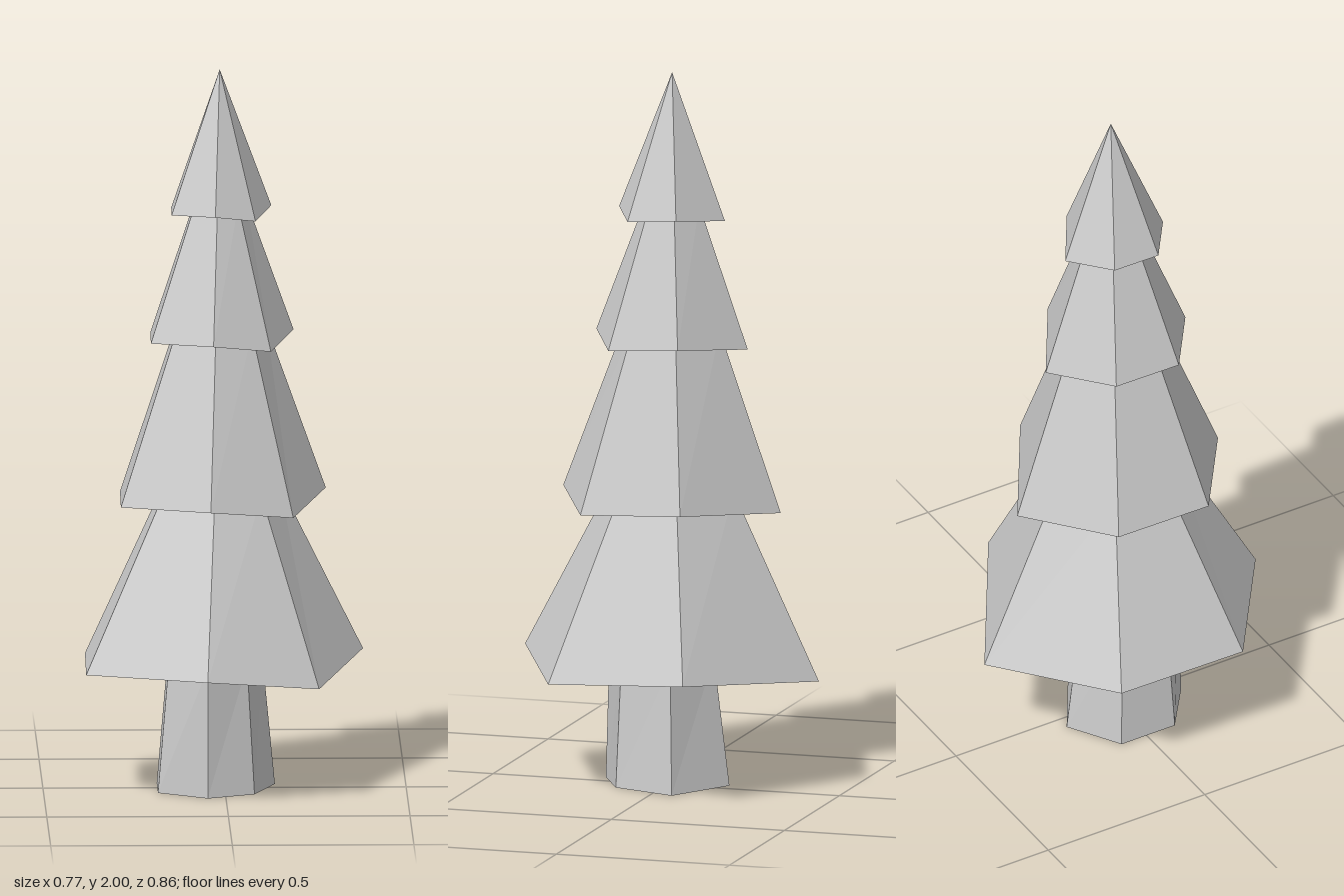
import * as THREE from 'three';

const material = new THREE.MeshStandardMaterial({ color: 0xcccccc, flatShading: true });

// Irregular hexagon shared by all foliage tiers: x, z offsets from the axis and rim tilt
const AXIS = [-0.013, -0.013];
const RIM = [
  [-0.022, -0.417, -0.03], [0.398, -0.157, 0.02], [0.268, 0.273, -0.025],
  [-0.042, 0.438, 0.02], [-0.372, 0.203, 0.005], [-0.367, -0.182, 0.005],
];

const ring = (scale, y, tilt) => RIM.map(([x, z, t]) =>
  new THREE.Vector3(AXIS[0] + x * scale, y + t * tilt, AXIS[1] + z * scale));

const middle = (points) => points.reduce((sum, p) => sum.add(p), new THREE.Vector3())
  .divideScalar(points.length);

// Closed flat-shaded solid between two rings (a point-sized top ring gives a spire)
function solid(name, lower, upper) {
  const out = [];
  const tri = (...points) => points.forEach((p) => out.push(p.x, p.y, p.z));
  const base = middle(lower);
  const top = middle(upper);
  const pointed = upper[0].distanceTo(top) < 1e-6;
  lower.forEach((a, i) => {
    const j = (i + 1) % lower.length;
    const b = lower[j];
    tri(b, a, upper[i]);
    tri(base, a, b);
    if (!pointed) {
      tri(b, upper[i], upper[j]);
      tri(top, upper[j], upper[i]);
    }
  });
  const geometry = new THREE.BufferGeometry();
  geometry.setAttribute('position', new THREE.Float32BufferAttribute(out, 3));
  geometry.computeVertexNormals();
  const mesh = new THREE.Mesh(geometry, material);
  mesh.name = name;
  return mesh;
}

export function createModel() {
  const tree = new THREE.Group();
  tree.name = 'firTree';

  // Tapered six-sided trunk
  const foot = [[-0.04, -0.17], [0.14, -0.06], [0.08, 0.12], [-0.05, 0.19], [-0.185, 0.09], [-0.185, -0.08]];
  const neck = [[-0.04, -0.125], [0.105, -0.045], [0.06, 0.11], [-0.05, 0.18], [-0.155, 0.08], [-0.155, -0.06]];
  const at = (points, y) => points.map(([x, z]) => new THREE.Vector3(x, y, z));
  tree.add(solid('trunk', at(foot, 0), at(neck, 0.36)));

  // Foliage tiers: rim height, rim scale, rim tilt, top height, top scale
  const tiers = [
    [0.34, 1, 1, 0.83, 0.42],
    [0.8, 0.74, 0.75, 1.28, 0.325],
    [1.25, 0.515, 0.6, 1.63, 0.185],
    [1.603, 0.36, 0.45, 2, 0],
  ];
  tiers.forEach(([y, scale, tilt, topY, topScale], i) => {
    tree.add(solid(`foliageTier${i + 1}`, ring(scale, y, tilt), ring(topScale, topY, 0)));
  });
  return tree;
}
